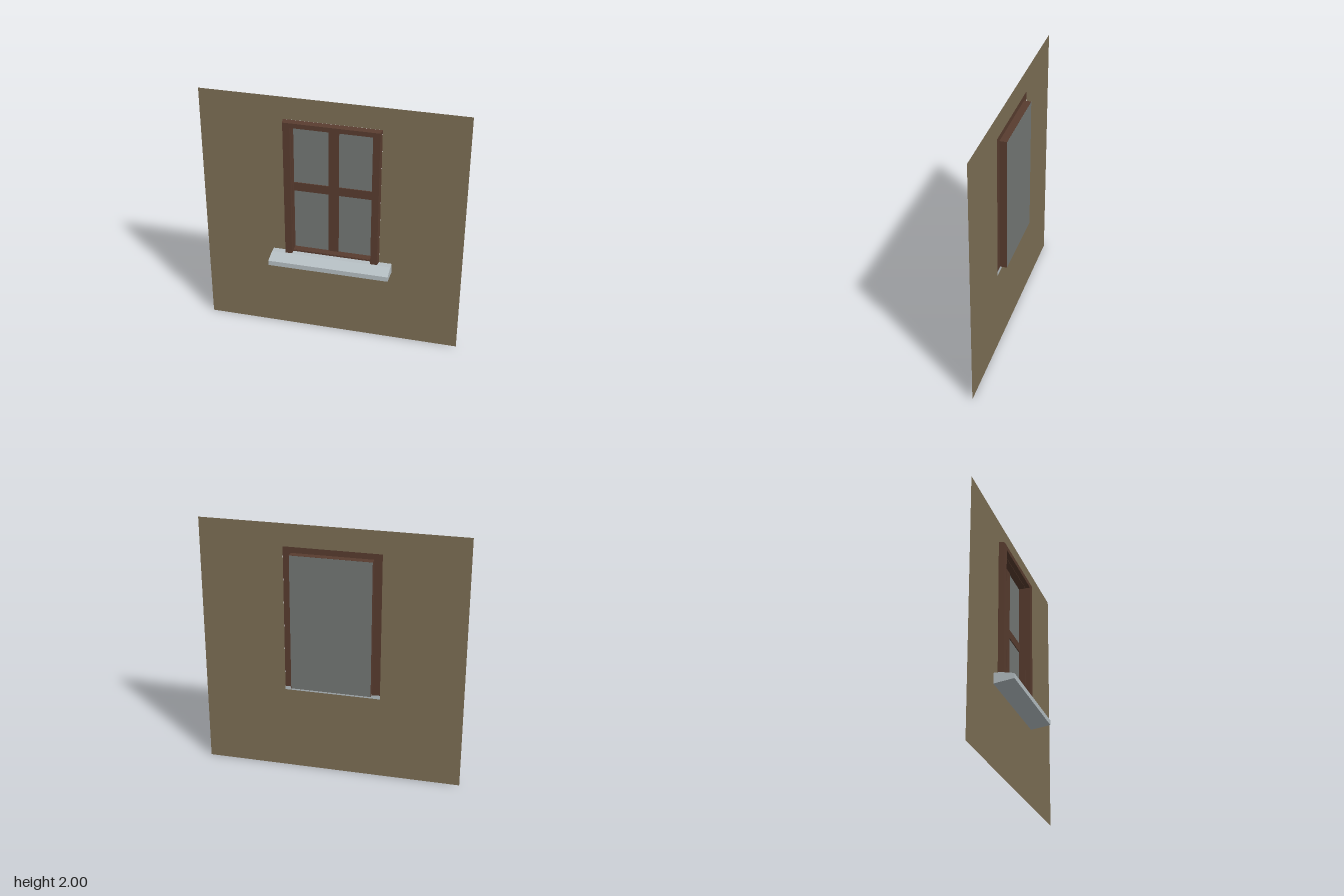
import * as THREE from 'three';

const material = (name, color, extra = {}) => {
  const m = new THREE.MeshStandardMaterial({ color, ...extra });
  m.name = name;
  return m;
};

const rectPoints = (x0, y0, x1, y1) =>
  [[x0, y0], [x1, y0], [x1, y1], [x0, y1]].map(([x, y]) => new THREE.Vector2(x, y));

// Rectangle with a rectangular hole
function ring(outer, inner) {
  const shape = new THREE.Shape(rectPoints(...outer));
  shape.holes.push(new THREE.Path(rectPoints(...inner).reverse()));
  return shape;
}

const extrude = (shape, depth) =>
  new THREE.ExtrudeGeometry(shape, { depth, bevelEnabled: false });

export function createModel() {
  const model = new THREE.Group();
  model.name = 'wallWindow';

  const plaster = material('plaster', 0x7d6f55, { side: THREE.DoubleSide });
  const wood = material('darkWood', 0x583c2f);
  const stone = material('paleStone', 0xb6bfc3);
  const glass = material('greyGlass', 0x747875);

  const add = (name, geometry, mat, x = 0, y = 0, z = 0) => {
    const mesh = new THREE.Mesh(geometry, mat);
    mesh.name = name;
    mesh.position.set(x, y, z);
    model.add(mesh);
  };

  const W = 0.368, TOP = 1.825;   // outer trim
  const IN = 0.308, IN_TOP = 1.78, FLOOR = 0.708; // window opening
  const WALL_Z = -0.051, BACK_Z = -0.105;

  // Wall sheet with the window cut out
  add('wall', new THREE.ShapeGeometry(ring([-1, 0, 1, 2], [-W, 0.667, W, TOP])),
    plaster, 0, 0, WALL_Z);

  // Trim: two legs and a head, tapering slightly towards the front
  const trimShape = new THREE.Shape([
    [-W, 0.695], [-IN, 0.695], [-IN, IN_TOP], [IN, IN_TOP],
    [IN, 0.695], [W, 0.695], [W, TOP], [-W, TOP],
  ].map(([x, y]) => new THREE.Vector2(x, y)));
  const trim = extrude(trimShape, 0.043);
  const p = trim.attributes.position;
  for (let i = 0; i < p.count; i++) {
    if (p.getZ(i) < 0.01) continue;
    const x = p.getX(i), y = p.getY(i);
    if (Math.abs(x) > 0.34) p.setX(i, x - Math.sign(x) * 0.008);
    if (y > 1.8) p.setY(i, y - 0.008);
  }
  trim.computeVertexNormals();
  add('trim', trim, wood, 0, 0, -0.05);

  // Thin casing running back from the trim to the glass
  const t = 0.003;
  add('casing', extrude(ring([-IN, FLOOR, IN, IN_TOP],
    [-IN + t, FLOOR + t, IN - t, IN_TOP - t]), 0.06), wood, 0, 0, BACK_Z);
  add('bottomLip', new THREE.BoxGeometry(2 * IN, 0.014, 0.004), wood, 0, 0.702, -0.045);

  // Glass pane and its crossed bars
  add('glassPane', new THREE.BoxGeometry(2 * IN - 0.002, IN_TOP - FLOOR - 0.002, 0.006),
    glass, 0, (IN_TOP + FLOOR) / 2, BACK_Z + 0.0025);
  const barZ = BACK_Z + 0.0085;
  add('uprightBar', new THREE.BoxGeometry(0.08, IN_TOP - FLOOR - 2 * t, 0.008),
    wood, 0, (IN_TOP + FLOOR) / 2, barZ);
  for (const s of [-1, 1]) {
    add(s > 0 ? 'leftCrossBar' : 'rightCrossBar',
      new THREE.BoxGeometry(IN - t - 0.04, 0.07, 0.008),
      wood, s * (0.04 + IN - t) / 2, 1.248, barZ);
  }

  // Sill: side profile drawn as (-z, y), run along x
  const sillShape = new THREE.Shape([
    [-0.105, 0.638], [0.05, 0.616], [0.05, 0.698], [0.0, 0.698], [-0.105, 0.677],
  ].map(([x, y]) => new THREE.Vector2(x, y)));
  const sill = extrude(sillShape, 0.932);
  sill.rotateY(Math.PI / 2);
  sill.translate(-0.466, 0, 0);
  add('sill', sill, stone);

  return model;
}
